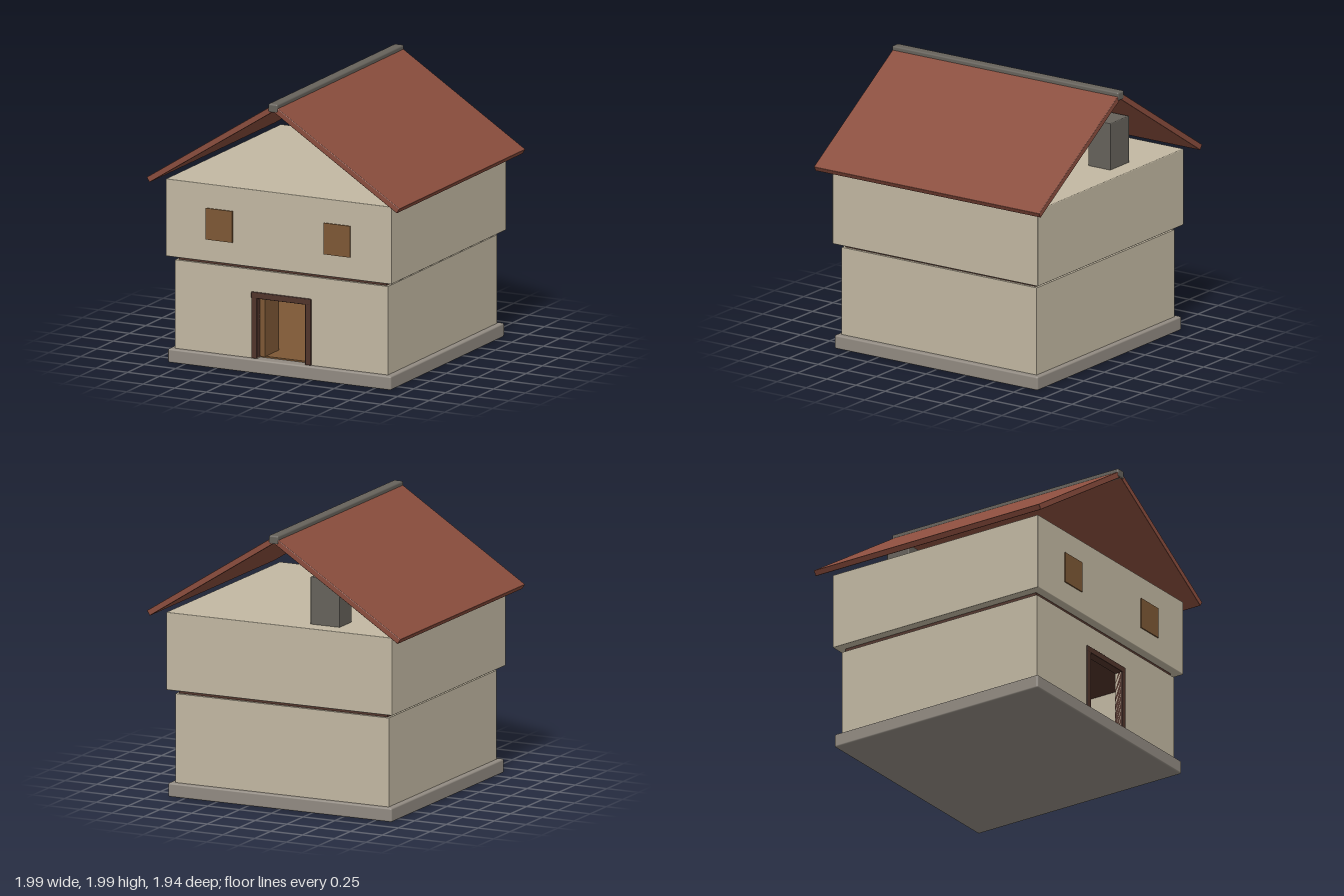
import * as THREE from 'three';
import { RoundedBoxGeometry } from 'three/addons/geometries/RoundedBoxGeometry.js';

const mat = (name, color) => {
  const m = new THREE.MeshStandardMaterial({ color });
  m.name = name;
  return m;
};

export function createModel() {
  const house = new THREE.Group();
  house.name = 'house';

  const plaster = mat('plaster', 0xc2b8a2);
  const roofTile = mat('roof tile', 0x8a4d3d);
  const stone = mat('stone', 0x928b82);
  const darkStone = mat('dark stone', 0x66625b);
  const darkWood = mat('dark wood', 0x50332a);
  const wood = mat('wood', 0x7d5835);

  const add = (name, geometry, material, parent = house) => {
    const mesh = new THREE.Mesh(geometry, material);
    mesh.name = name;
    parent.add(mesh);
    return mesh;
  };

  // Box given by its extents; a bevel above zero chamfers the edges
  const block = (name, material, [x0, x1], [y0, y1], [z0, z1], bevel = 0, parent = house) => {
    const size = [x1 - x0, y1 - y0, z1 - z0];
    const geometry = bevel
      ? new RoundedBoxGeometry(...size, 2, bevel)
      : new THREE.BoxGeometry(...size);
    const mesh = add(name, geometry, material, parent);
    mesh.position.set((x0 + x1) / 2, (y0 + y1) / 2, (z0 + z1) / 2);
    return mesh;
  };

  // Foundation and floors
  block('foundation', stone, [-0.88, 0.88], [0, 0.1], [-0.87, 0.87], 0.012);
  block('groundFloor', wood, [-0.79, 0.79], [0.095, 0.11], [-0.785, 0.785]);
  block('upperFloorSlab', darkWood, [-0.82, 0.82], [0.735, 0.775], [-0.815, 0.815]);

  // Ground storey: hollow, with a doorway cut into the front wall
  const front = new THREE.Shape();
  front.moveTo(-0.84, 0.098);
  [[-0.19, 0.098], [-0.19, 0.54], [0.19, 0.54], [0.19, 0.098],
    [0.84, 0.098], [0.84, 0.74], [-0.84, 0.74]].forEach(([x, y]) => front.lineTo(x, y));
  add('frontWall', new THREE.ExtrudeGeometry(front, { depth: 0.05, bevelEnabled: false }), plaster)
    .position.z = 0.785;
  block('backWall', plaster, [-0.84, 0.84], [0.098, 0.74], [-0.835, -0.785]);
  block('rightWall', plaster, [-0.84, -0.79], [0.098, 0.74], [-0.785, 0.785]);
  block('leftWall', plaster, [0.79, 0.84], [0.098, 0.74], [-0.785, 0.785]);

  // Overhanging upper storey
  block('upperStorey', plaster, [-0.89, 0.89], [0.77, 1.33], [-0.88, 0.88], 0.006);

  // Door frame and the leaf standing open inwards
  for (const s of [-1, 1]) {
    const xs = [s * 0.19, s * 0.235].sort((a, b) => a - b);
    block('doorJamb', darkWood, xs, [0.1, 0.58], [0.78, 0.845], 0.005);
  }
  block('doorLintel', darkWood, [-0.235, 0.235], [0.535, 0.58], [0.78, 0.846], 0.005);
  block('doorLeaf', wood, [-0.188, -0.15], [0.11, 0.53], [0.58, 0.8]);

  // Window panels
  for (const x of [-0.465, 0.465]) {
    block('window', wood, [x - 0.105, x + 0.105], [0.93, 1.157], [0.882, 0.891]);
  }

  // Two roof slopes with open gables, and the ridge cap
  const pitch = 0.568;
  for (const s of [-1, 1]) {
    const slope = add('roofSlope', new RoundedBoxGeometry(1.16, 0.042, 1.93, 2, 0.005), roofTile);
    slope.position.set(s * 0.498, 1.642, 0);
    slope.rotation.z = -s * pitch;
  }
  block('ridgeCap', darkStone, [-0.037, 0.037], [1.93, 1.992], [-0.97, 0.97], 0.012);

  // Chimney stack above the fireplace
  block('chimney', darkStone, [-0.41, -0.18], [1.32, 1.67], [-0.75, -0.56], 0.006);
  block('fireplace', darkStone, [-0.53, -0.07], [0.11, 0.51], [-0.78, -0.56]);
  block('mantel', stone, [-0.56, -0.04], [0.505, 0.535], [-0.785, -0.52], 0.008);

  // Table with stools on two sides
  const table = new THREE.Group();
  table.name = 'table';
  house.add(table);
  block('tableTop', wood, [0.02, 0.5], [0.23, 0.25], [-0.2, 0.12], 0, table);
  for (const x of [0.055, 0.465]) {
    for (const z of [-0.16, 0.08]) {
      block('tableLeg', wood, [x - 0.013, x + 0.013], [0.11, 0.23], [z - 0.013, z + 0.013], 0, table);
    }
  }
  for (const z of [-0.28, 0.2]) {
    block('stool', darkWood, [0.08, 0.175], [0.165, 0.275], [z - 0.045, z + 0.045], 0.006);
  }

  return house;
}
